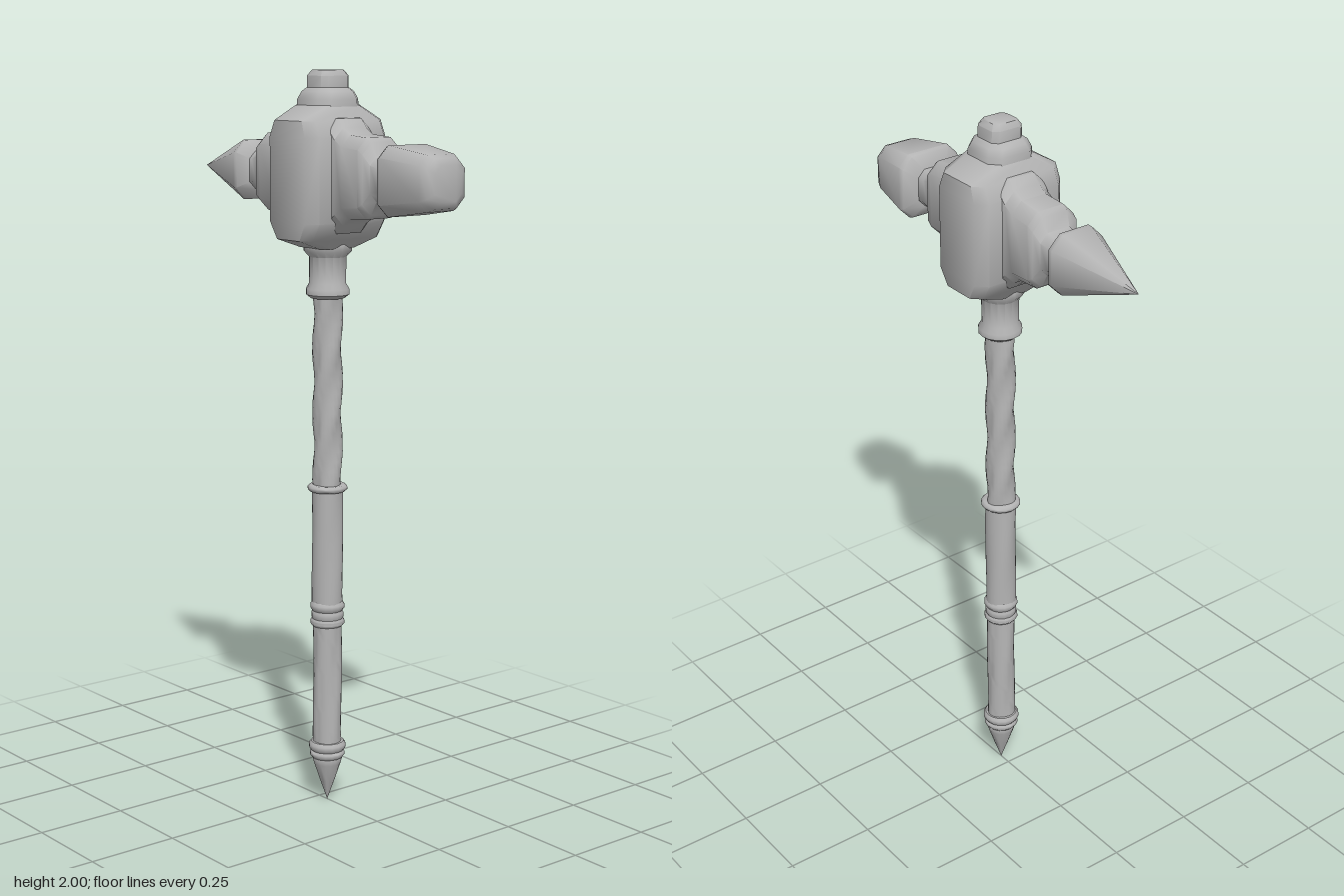
import * as THREE from 'three';
import { toCreasedNormals } from 'three/addons/utils/BufferGeometryUtils.js';

const AXIS_X = 0.035; // shaft axis
const HEAD_Y = 1.73;  // height of the striking axis

// Chamfered-rectangle sections [height, halfX, halfZ, chamfer] joined along y.
function loft(sections) {
  const pos = [], index = [], n = 8;
  for (const [y, a, b, c] of sections) {
    const ring = [[a, c - b], [a, b - c], [a - c, b], [c - a, b],
      [-a, b - c], [-a, c - b], [c - a, -b], [a - c, -b]];
    for (const [x, z] of ring) pos.push(x, y, z);
  }
  for (let s = 0; s < sections.length - 1; s++) {
    for (let i = 0; i < n; i++) {
      const p = s * n + i, q = s * n + (i + 1) % n;
      index.push(p, p + n, q, q, p + n, q + n);
    }
  }
  const last = (sections.length - 1) * n;
  for (let i = 1; i < n - 1; i++) {
    index.push(0, i, i + 1, last, last + i + 1, last + i);
  }
  const g = new THREE.BufferGeometry();
  g.setAttribute('position', new THREE.Float32BufferAttribute(pos, 3));
  g.setIndex(index);
  return g;
}

// Turned part from [radius, y] points, bottom to top.
const turned = (points, sides = 16) =>
  new THREE.LatheGeometry(points.map(([r, y]) => new THREE.Vector2(r, y)), sides);

// Shaft length with shallow spiral facets.
function twisted(y0, y1, radius, depth, turns) {
  const points = [];
  for (let i = 0; i <= 20; i++) points.push([radius, y0 + (y1 - y0) * i / 20]);
  const g = turned(points, 24), p = g.attributes.position;
  for (let i = 0; i < p.count; i++) {
    const x = p.getX(i), y = p.getY(i), z = p.getZ(i);
    const wave = Math.sin(3 * Math.atan2(z, x) + turns * Math.PI * 2 * (y - y0) / (y1 - y0));
    const k = 1 + depth * wave / radius;
    p.setXYZ(i, x * k, y, z * k);
  }
  return g;
}

export function createModel() {
  const model = new THREE.Group();
  model.name = 'warHammer';
  const steel = new THREE.MeshStandardMaterial({ color: 0xb4b4b4 });
  steel.name = 'grey steel';

  function add(name, geometry, crease = 0.9) {
    const mesh = new THREE.Mesh(toCreasedNormals(geometry, crease), steel);
    mesh.name = name;
    model.add(mesh);
    return mesh;
  }
  const upright = (name, geometry, crease) => {
    add(name, geometry, crease).position.x = AXIS_X;
  };
  const sideways = (name, sections) => {
    add(name, loft(sections).rotateZ(-Math.PI / 2)).position.y = HEAD_Y;
  };

  // Head: central block, top collar and cap
  upright('headBlock', loft([
    [1.54, 0.06, 0.06, 0.02], [1.565, 0.072, 0.132, 0.025], [1.61, 0.1, 0.135, 0.027],
    [1.83, 0.1, 0.135, 0.027], [1.872, 0.082, 0.132, 0.025], [1.91, 0.066, 0.07, 0.02],
  ]));
  upright('topCollar', loft([
    [1.88, 0.068, 0.07, 0.025], [1.925, 0.067, 0.068, 0.025], [1.945, 0.06, 0.06, 0.025],
    [1.955, 0.044, 0.047, 0.015],
  ]));
  upright('topCap', loft([
    [1.94, 0.042, 0.047, 0.013], [1.985, 0.042, 0.046, 0.013], [2, 0.033, 0.036, 0.012],
  ]));

  // Mirrored arms flaring out of the block, with necks
  for (const [side, name] of [[-1, 'spikeArm'], [1, 'hammerArm']]) {
    const profile = [
      [0, 0.15, 0.068, 0.03], [0.09, 0.148, 0.068, 0.03], [0.11, 0.125, 0.068, 0.03],
      [0.138, 0.108, 0.068, 0.03], [0.205, 0.103, 0.07, 0.03], [0.222, 0.092, 0.068, 0.03],
      [0.238, 0.057, 0.056, 0.022], [0.262, 0.05, 0.053, 0.02], [0.31, 0.053, 0.054, 0.02],
    ].map(([d, ...rest]) => [AXIS_X + side * d, ...rest]);
    sideways(name, side < 0 ? profile.reverse() : profile);
  }
  sideways('spike', [
    [-0.505, 0.001, 0.001, 0.0004], [-0.275, 0.08, 0.078, 0.034],
    [-0.262, 0.08, 0.077, 0.033], [-0.236, 0.053, 0.055, 0.02],
  ]);
  sideways('hammerFace', [
    [0.318, 0.053, 0.056, 0.02], [0.338, 0.085, 0.088, 0.03], [0.35, 0.089, 0.092, 0.03],
    [0.475, 0.07, 0.07, 0.026], [0.495, 0.062, 0.062, 0.026], [0.505, 0.045, 0.045, 0.02],
  ]);

  // Socket below the head
  upright('socket', turned([
    [0, 1.4], [0.045, 1.405], [0.058, 1.415], [0.058, 1.43], [0.049, 1.445],
    [0.05, 1.515], [0.064, 1.53], [0.066, 1.55], [0.05, 1.57],
  ]), 0.8);

  // Shaft and grips
  upright('upperShaft', twisted(0.885, 1.415, 0.038, 0.0035, 3));
  upright('upperGrip', twisted(0.55, 0.89, 0.042, 0.0012, 1));
  upright('lowerGrip', twisted(0.15, 0.52, 0.039, 0.0015, 1));

  // Rings: [height, outer radius, half thickness]
  for (const [y, r, h] of [[0.89, 0.054, 0.009], [0.56, 0.047, 0.013],
    [0.535, 0.044, 0.018], [0.515, 0.047, 0.011], [0.16, 0.051, 0.013], [0.137, 0.048, 0.011]]) {
    upright('shaftRing', turned([
      [0.03, y - h], [r - 0.006, y - h], [r, y - h * 0.35], [r, y + h * 0.35],
      [r - 0.006, y + h], [0.03, y + h],
    ]));
  }

  // Pointed butt
  upright('buttSpike', turned([
    [0, 0], [0.02, 0.057], [0.037, 0.108], [0.041, 0.122], [0.037, 0.14],
  ]));
  return model;
}
